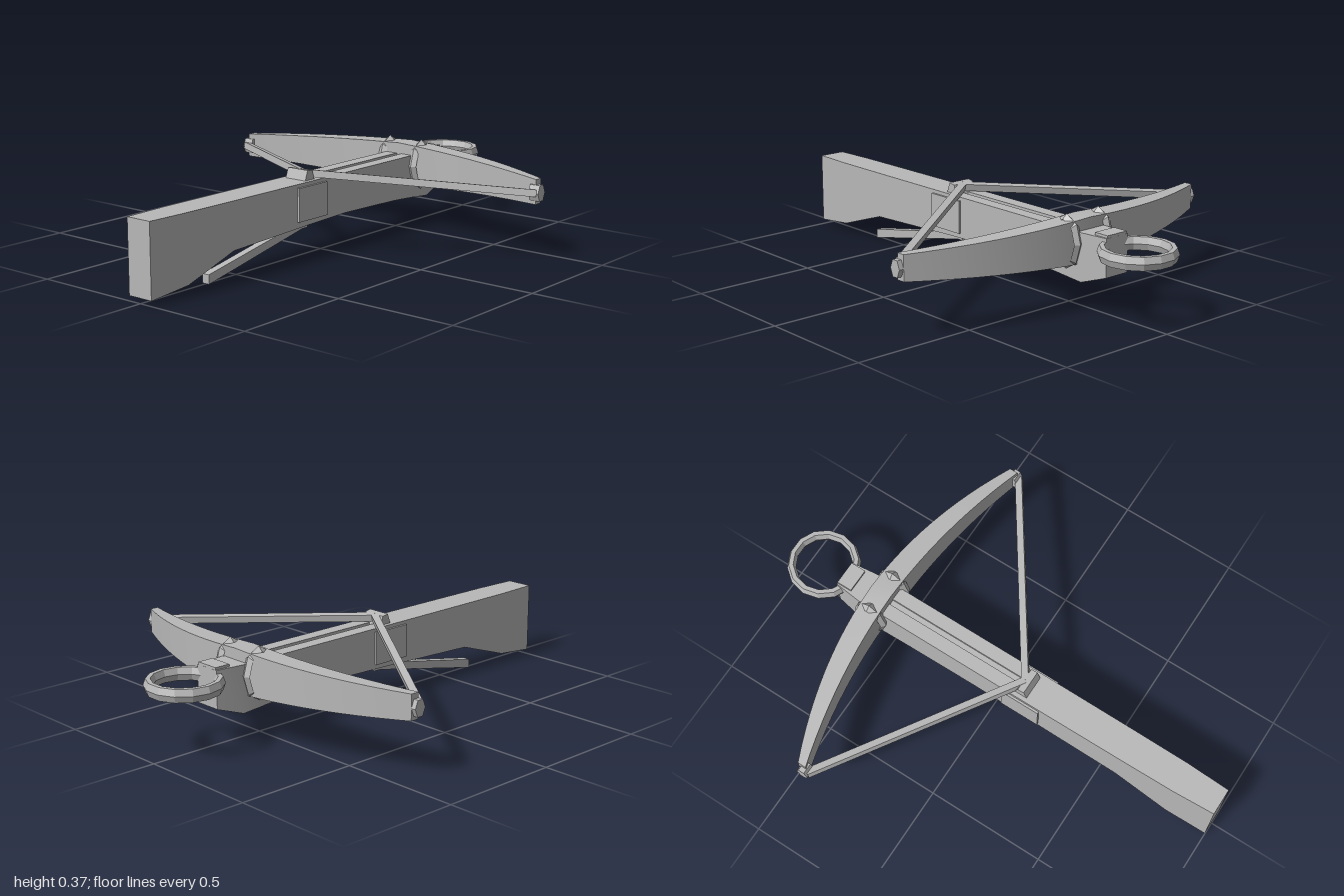
import * as THREE from 'three';
import { toCreasedNormals } from 'three/addons/utils/BufferGeometryUtils.js';

// Skins a list of equal-length loops and closes both ends.
// Loops run counter-clockwise seen from the end they travel towards.
function loft(loops, crease = 0.3) {
  const pos = [];
  const tri = (a, b, c) => pos.push(...a, ...b, ...c);
  const n = loops[0].length;
  for (let i = 0; i < loops.length - 1; i++) {
    const a = loops[i], b = loops[i + 1];
    for (let j = 0; j < n; j++) {
      const k = (j + 1) % n;
      tri(a[j], a[k], b[k]);
      tri(a[j], b[k], b[j]);
    }
  }
  const cap = (loop, flip) => {
    const c = [0, 1, 2].map((d) => loop.reduce((s, p) => s + p[d], 0) / n);
    loop.forEach((p, j) => {
      const q = loop[(j + 1) % n];
      if (flip) tri(c, q, p); else tri(c, p, q);
    });
  };
  cap(loops[0], true);
  cap(loops[loops.length - 1], false);
  const g = new THREE.BufferGeometry();
  g.setAttribute('position', new THREE.Float32BufferAttribute(pos, 3));
  return toCreasedNormals(g, crease);
}

// Extrudes a convex [y, z] outline across x.
const across = (outline, w) => loft([-w, w].map((x) => outline.map(([y, z]) => [x, y, z])));

export function createModel() {
  const model = new THREE.Group();
  const grey = new THREE.MeshStandardMaterial({ color: 0xb8b8b8 });
  grey.name = 'plain grey';
  const flatGeo = (g) => {
    const f = g.toNonIndexed();
    f.computeVertexNormals();
    return f;
  };
  const add = (name, geo, x = 0, y = 0, z = 0) => {
    const m = new THREE.Mesh(geo, grey);
    m.name = name;
    m.position.set(x, y, z);
    model.add(m);
    return m;
  };

  // Stock: z, bottom y, top y, half width, bolt groove depth
  const stations = [
    [-0.745, 0.16, 0.31, 0.055, 0],
    [-0.63, 0.12, 0.31, 0.068, 0],
    [-0.53, 0.128, 0.31, 0.068, 0],
    [-0.525, 0.129, 0.31, 0.068, 0.01],
    [-0.4, 0.137, 0.31, 0.068, 0.01],
    [-0.08, 0.145, 0.31, 0.068, 0.01],
    [0.095, 0.14, 0.31, 0.068, 0.01],
    [0.1, 0.14, 0.31, 0.068, 0],
    [0.58, 0.12, 0.31, 0.066, 0],
    [0.82, 0.04, 0.31, 0.064, 0],
    [1, 0.02, 0.31, 0.056, 0],
  ];
  const g = 0.012;
  add('stock', loft(stations.map(([z, b, t, w, d]) => [
    [-w, b, z], [w, b, z], [w, t, z], [g, t, z],
    [g, t - d, z], [-g, t - d, z], [-g, t, z], [-w, t, z],
  ])));
  add('noseBlock', new THREE.BoxGeometry(0.1, 0.03, 0.065), 0, 0.305, -0.712);

  // Bow: one curved, tapering bar
  const bow = [];
  for (let i = 0; i <= 24; i++) {
    const t = i / 12 - 1, x = 0.75 * t, a = Math.abs(t), q = t * t;
    const y0 = 0.18 + 0.04 * a, y1 = 0.355 - 0.035 * a;
    const z0 = -0.61 + 0.17 * q, z1 = -0.52 + 0.115 * q;
    bow.push([[x, y0, z0], [x, y1, z0], [x, y1, z1], [x, y0, z1]]);
  }
  add('bow', loft(bow, 0.5));

  // Foot loop at the nose
  const loop = new THREE.TorusGeometry(0.132, 0.018, 6, 14);
  loop.rotateX(Math.PI / 2);
  loop.scale(1, 1.65, 1);
  add('footLoop', flatGeo(loop), 0, 0.27, -0.85);

  for (const s of [-1, 1]) {
    const side = s > 0 ? 'left' : 'right';

    // Binding wrapped around the bow beside the stock
    const wrap = new THREE.TorusGeometry(1, 0.2, 4, 8);
    wrap.rotateY(Math.PI / 2);
    wrap.scale(0.1, 0.088, 0.062);
    add(side + 'Binding', flatGeo(wrap), s * 0.082, 0.267, -0.565);

    // Bow tip nock
    const nock = new THREE.CylinderGeometry(0.028, 0.028, 0.045, 6);
    nock.rotateZ(Math.PI / 2);
    nock.scale(1, 1.3, 0.9);
    add(side + 'Nock', flatGeo(nock), s * 0.747, 0.267, -0.415);

    // String half, from nock to catch
    const from = new THREE.Vector3(s * 0.755, 0.267, -0.4);
    const to = new THREE.Vector3(0, 0.332, 0.115);
    const dir = to.clone().sub(from);
    const cord = new THREE.CylinderGeometry(0.02, 0.02, dir.length(), 4);
    const string = add(side + 'String', flatGeo(cord));
    string.position.copy(from).add(to).multiplyScalar(0.5);
    string.quaternion.setFromUnitVectors(new THREE.Vector3(0, 1, 0), dir.normalize());

    // Lock plate on the stock side
    add(side + 'LockPlate', new THREE.BoxGeometry(0.012, 0.135, 0.17), s * 0.071, 0.228, 0.135);
  }

  // String catch
  add('catch', across([[0.305, 0.095], [0.345, 0.11], [0.35, 0.138], [0.31, 0.152]], 0.05));

  // Trigger lever and its pivot block
  add('triggerLever', across([[0.11, 0.13], [0.14, 0.13], [0.037, 0.665], [0, 0.665]], 0.016));
  add('triggerPivot', new THREE.BoxGeometry(0.032, 0.04, 0.06), 0, 0.13, 0.13);

  return model;
}
